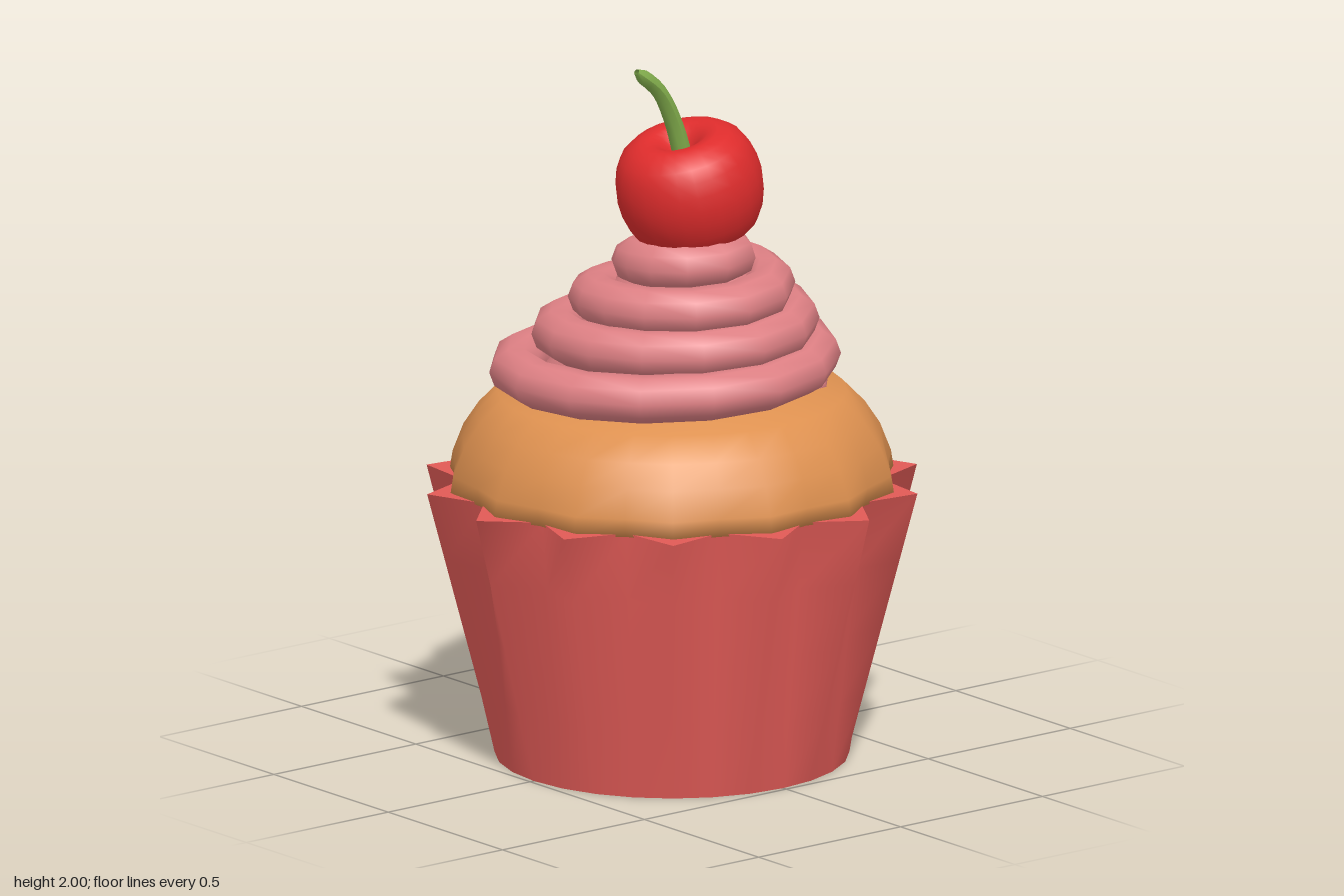
import * as THREE from 'three';

const material = (name, color) => {
  const m = new THREE.MeshStandardMaterial({ color });
  m.name = name;
  return m;
};

// Smooth surface from rows of closed rings; point(i, angle) returns [x, y, z]
function loft(rows, cols, point) {
  const pos = [], index = [];
  for (let i = 0; i <= rows; i++) {
    for (let j = 0; j < cols; j++) {
      pos.push(...point(i, (j / cols) * Math.PI * 2));
      if (i === rows) continue;
      const a = i * cols + j, b = i * cols + (j + 1) % cols;
      index.push(a, b, b + cols, a, b + cols, a + cols);
    }
  }
  const g = new THREE.BufferGeometry();
  g.setAttribute('position', new THREE.Float32BufferAttribute(pos, 3));
  g.setIndex(index);
  g.computeVertexNormals();
  return g;
}

const PLEATS = 14;
const RIM = 0.775;

export function createModel() {
  const model = new THREE.Group();
  model.name = 'cupcake';
  const wrapperRed = material('wrapper red', 0xe05a56);
  const cakeBrown = material('cake brown', 0xde9150);
  const frostingPink = material('frosting pink', 0xde8084);
  const cherryRed = material('cherry red', 0xde2c2c);
  const stemGreen = material('stem green', 0x82ad4c);

  const add = (name, geometry, mat) => {
    const mesh = new THREE.Mesh(geometry, mat);
    mesh.name = name;
    model.add(mesh);
    return mesh;
  };

  // Pleated wrapper: round at the foot, star-shaped at the rim
  const star = (a) => 0.632 + 0.058 * Math.cos(PLEATS * a);
  const ring = (r, y, a) => [r * Math.sin(a), y, r * Math.cos(a)];
  add('wrapperWall', loft(4, PLEATS * 2, (i, a) =>
    ring(THREE.MathUtils.lerp(0.487, star(a), i / 4), RIM * i / 4, a)), wrapperRed);
  add('wrapperRim', loft(1, PLEATS * 2, (i, a) =>
    ring(i ? 0.4 : star(a), RIM, a)), wrapperRed);
  const base = add('wrapperBase', new THREE.CircleGeometry(0.487, PLEATS * 2), wrapperRed);
  base.rotation.x = Math.PI / 2;

  // Cake dome, with lobes that follow the pleats and fade upward
  const dome = [[0.5, 0.765, 0], [0.605, 0.768, 0.02], [0.606, 0.82, 0.011], [0.58, 0.9, 0.006],
    [0.54, 0.965, 0.003], [0.48, 1.03, 0], [0.3, 1.08, 0], [0.001, 1.1, 0]];
  add('cake', loft(dome.length - 1, PLEATS * 2, (i, a) => {
    const [r, y, lobe] = dome[i];
    return ring(r + lobe * Math.cos(PLEATS * a), y, a);
  }), cakeBrown);

  // Frosting swirl: outer radius at each quarter turn, starting at the left side
  const outer = [0.44, 0.485, 0.505, 0.505, 0.495, 0.435, 0.4, 0.39, 0.435,
    0.365, 0.29, 0.3, 0.38, 0.275, 0.16, 0.19, 0.285, 0.17];
  const radii = new THREE.SplineCurve(outer.map((r, i) => new THREE.Vector2(i, r)));
  const rows = 64;
  add('frostingSwirl', loft(rows, 10, (i, b) => {
    const t = i / rows;
    const u = -0.25 + t * (outer.length - 1) / 4;
    const a = u * Math.PI * 2;
    const taper = Math.max(0.03, Math.min(1, i / 4, (rows - i) / 3));
    const r = radii.getPoint(t).y - 0.075 + 0.075 * taper * Math.cos(b);
    const y = 1.055 + 0.103 * u - 0.066 * taper * Math.sin(b);
    return [-r * Math.sin(a), y, -r * Math.cos(a)];
  }), frostingPink);

  // Filling inside the swirl, leaning with it
  const core = [[0.4, 1.03], [0.13, 1.46], [0.001, 1.47]];
  add('frostingCore', loft(2, 20, (i, a) => {
    const [r, y] = core[i];
    const lean = Math.min(1, (y - 1.03) / 0.43);
    return [r * Math.sin(a) + 0.06 * lean, y, r * Math.cos(a) - 0.03 * lean];
  }), frostingPink);

  // Cherry, dimpled on top and tipped forward
  const profile = new THREE.SplineCurve([[0.001, -0.165], [0.09, -0.16], [0.165, -0.115],
    [0.2, -0.03], [0.2, 0.055], [0.17, 0.13], [0.11, 0.165], [0.06, 0.15], [0.025, 0.112], [0.001, 0.1]]
    .map(([x, y]) => new THREE.Vector2(x, y)));
  const cherry = add('cherry', new THREE.LatheGeometry(profile.getPoints(18), 24), cherryRed);
  cherry.position.set(0.075, 1.615, -0.005);
  cherry.rotation.x = 0.26;

  // Curved stem, thinning toward a closed tip
  const path = new THREE.CatmullRomCurve3([[0.075, 1.69, 0.015], [0.08, 1.82, 0.06],
    [0.092, 1.92, 0.12], [0.106, 1.993, 0.21]].map((p) => new THREE.Vector3(...p)));
  const stem = new THREE.TubeGeometry(path, 12, 0.028, 8);
  const p = stem.attributes.position, v = new THREE.Vector3();
  for (let i = 0; i < p.count; i++) {
    const k = Math.floor(i / 9);
    const scale = k === 12 ? 0.3 : 1 - 0.3 * k / 12;
    const c = path.getPointAt(k / 12);
    v.fromBufferAttribute(p, i).sub(c).multiplyScalar(scale).add(c);
    p.setXYZ(i, v.x, v.y, v.z);
  }
  stem.computeVertexNormals();
  stemGreen.side = THREE.DoubleSide;
  add('cherryStem', stem, stemGreen);

  return model;
}
